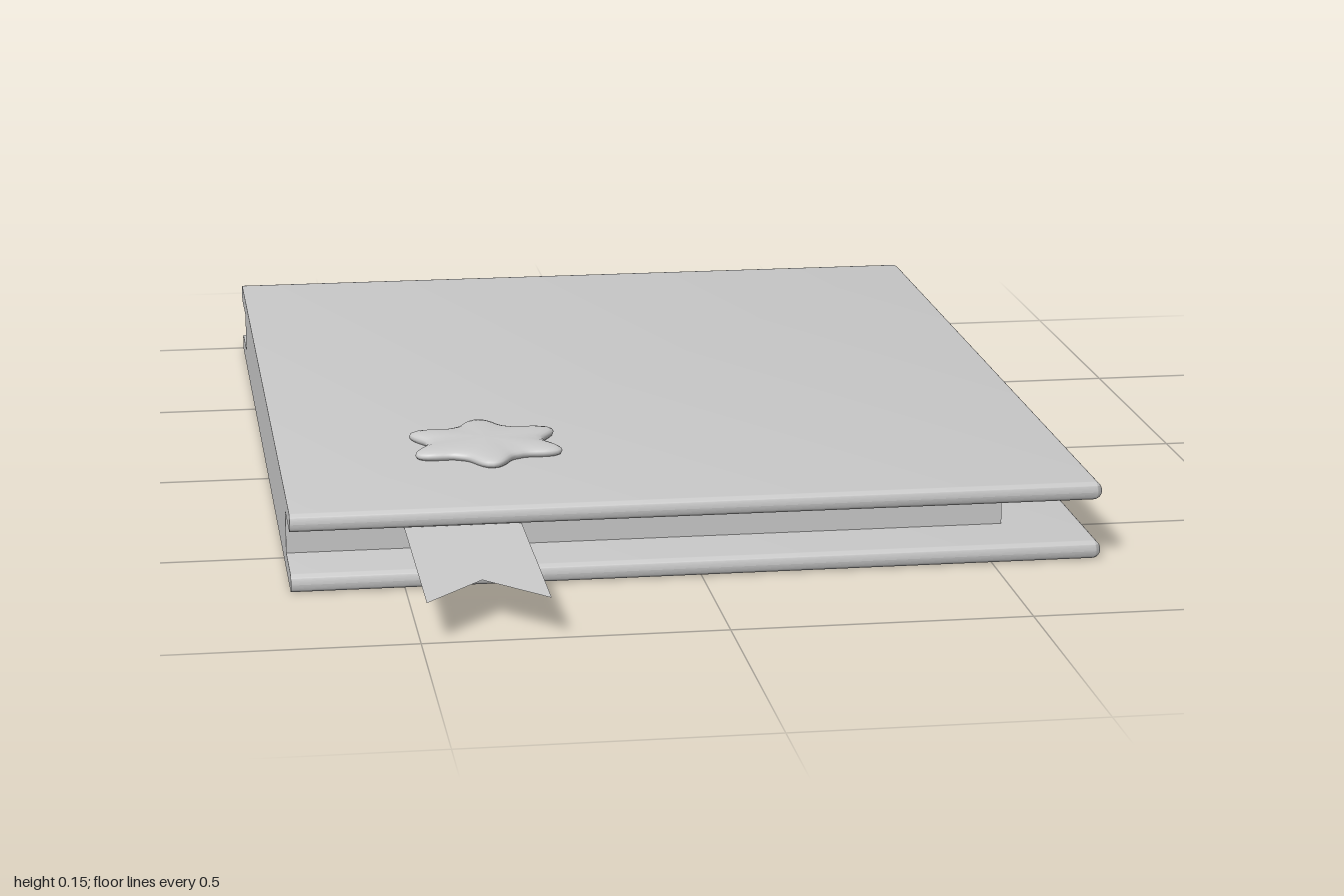
import * as THREE from 'three';
import { RoundedBoxGeometry } from 'three/addons/geometries/RoundedBoxGeometry.js';
import { toCreasedNormals } from 'three/addons/utils/BufferGeometryUtils.js';

const grey = new THREE.MeshStandardMaterial({ color: 0xcccccc });
const thin = new THREE.MeshStandardMaterial({ color: 0xcccccc, side: THREE.DoubleSide });

const HALF_W = 0.69, COVER_T = 0.031, MID_Z = -0.145, LENGTH = 1.71;

function add(group, name, geometry, material, x = 0, y = 0, z = 0) {
  const mesh = new THREE.Mesh(geometry, material);
  mesh.name = name;
  mesh.position.set(x, y, z);
  group.add(mesh);
  return mesh;
}

// Board rounded on three edges; the spine edge is squeezed to a flat end
function coverGeometry() {
  const r = COVER_T / 2;
  const g = new RoundedBoxGeometry(HALF_W * 2 + r, COVER_T, LENGTH, 6, r);
  g.translate(-r / 2, 0, 0);
  const p = g.attributes.position;
  for (let i = 0; i < p.count; i++) p.setX(i, Math.max(p.getX(i), -HALF_W));
  return toCreasedNormals(g, 0.7);
}

// Puffy six-pointed star lofted from scaled outlines
function starGeometry() {
  const N = 96;
  const rings = [[0.95, 0], [0.985, 0.003], [1, 0.007], [0.985, 0.011],
    [0.94, 0.014], [0.85, 0.0165], [0.65, 0.0185], [0.35, 0.0195], [0, 0.02]];
  const pos = [], index = [];
  for (const [s, y] of rings) {
    for (let i = 0; i < N; i++) {
      const a = (i / N) * Math.PI * 2;
      const r = s * (0.104 + 0.042 * Math.pow((1 + Math.cos(6 * a)) / 2, 1.6));
      pos.push(r * Math.sin(a), y, r * Math.cos(a));
    }
  }
  for (let k = 0; k < rings.length - 1; k++) {
    for (let i = 0; i < N; i++) {
      const j = (i + 1) % N;
      const a = k * N + i, b = k * N + j, c = a + N, d = b + N;
      index.push(a, b, d, a, d, c);
    }
  }
  const g = new THREE.BufferGeometry();
  g.setAttribute('position', new THREE.Float32BufferAttribute(pos, 3));
  g.setIndex(index);
  g.computeVertexNormals();
  return g;
}

// Flat ribbon with a swallowtail end, lying in the xz plane
function ribbonGeometry() {
  const s = new THREE.Shape();
  s.moveTo(-0.1, -0.5);
  s.lineTo(0.1, -0.5);
  s.lineTo(0.1, -1);
  s.lineTo(0, -0.89);
  s.lineTo(-0.1, -1);
  s.closePath();
  return new THREE.ShapeGeometry(s).rotateX(-Math.PI / 2);
}

export function createModel() {
  const book = new THREE.Group();
  book.name = 'book';

  // Two boards
  const cover = coverGeometry();
  add(book, 'backCover', cover, grey, 0, COVER_T / 2, MID_Z);
  add(book, 'frontCover', cover, grey, 0, 0.135 - COVER_T / 2, MID_Z);

  // Pages, flush with the spine edge
  add(book, 'pageBlock', new THREE.BoxGeometry(1.235, 0.075, 1.43), grey, -0.0725, 0.0675, -0.14);

  // Bookmark hanging out at the front
  add(book, 'bookmarkRibbon', ribbonGeometry(), thin, -0.39, 0.0675, 0);

  // Raised emblem on the cover
  add(book, 'starEmblem', starGeometry(), grey, -0.325, 0.134, 0.325);

  return book;
}
